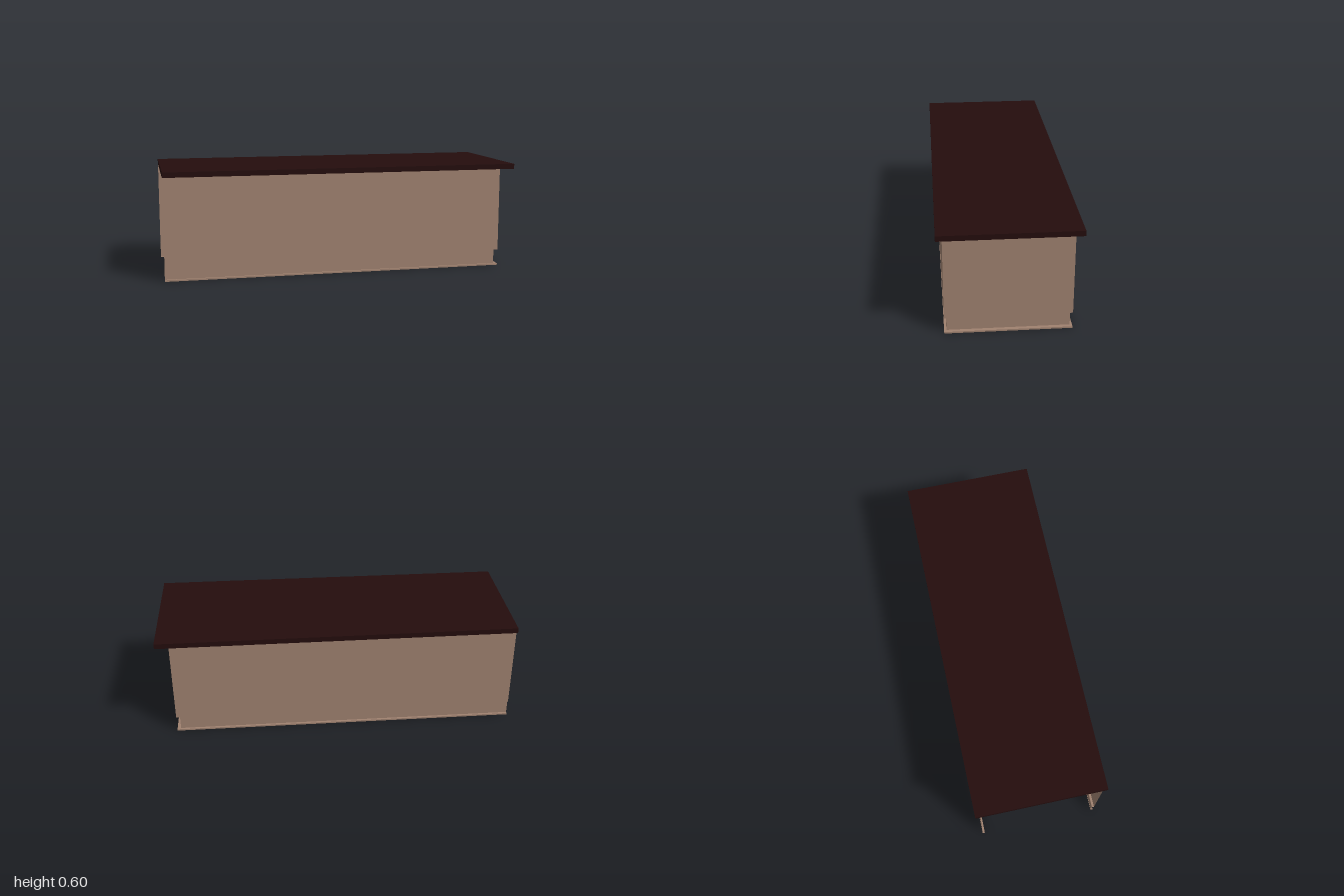
import * as THREE from 'three';

const wood = new THREE.MeshStandardMaterial({ color: 0xa08270, side: THREE.DoubleSide });
wood.name = 'tan wood';
const dark = new THREE.MeshStandardMaterial({ color: 0x240d0d });
dark.name = 'dark countertop';

// Plan of the thin cabinet wall for a given inset: open at -x, closed at +x
function plan(inset) {
  const x = 0.927 - inset * 0.02;
  const z = 0.333 - inset * 0.012;
  return [[-1, z], [x, z], [x, -z], [-1, -z]];
}

// Sweep a profile of [inset, y] points, listed top to bottom, around the plan
function sweep(profile) {
  const pos = [];
  for (let j = 0; j < profile.length - 1; j++) {
    const [top, bottom] = [profile[j], profile[j + 1]];
    const [p, q] = [plan(top[0]), plan(bottom[0])];
    for (let i = 0; i < 3; i++) {
      const a = [p[i][0], top[1], p[i][1]];
      const b = [q[i][0], bottom[1], q[i][1]];
      const c = [q[i + 1][0], bottom[1], q[i + 1][1]];
      const d = [p[i + 1][0], top[1], p[i + 1][1]];
      pos.push(...a, ...b, ...c, ...a, ...c, ...d);
    }
  }
  const geo = new THREE.BufferGeometry();
  geo.setAttribute('position', new THREE.Float32BufferAttribute(pos, 3));
  geo.computeVertexNormals();
  return geo;
}

export function createModel() {
  const group = new THREE.Group();
  group.name = 'counter';
  const add = (name, geo, mat) => {
    const mesh = new THREE.Mesh(geo, mat);
    mesh.name = name;
    group.add(mesh);
  };

  // Cabinet walls, recessed plinth and thin foot rail
  add('cabinetWalls', sweep([[0, 0.571], [0, 0.092]]), wood);
  add('recessedPlinth', sweep([[0, 0.092], [1, 0.092], [1, 0.009]]), wood);
  add('footRail', sweep([[1, 0.009], [0, 0.009], [0, 0], [1, 0]]), wood);

  // Overhanging countertop, very slightly narrower at the open end
  const top = new THREE.BoxGeometry(2, 0.029, 0.734);
  top.translate(0, 0.5855, 0);
  const p = top.attributes.position;
  for (let i = 0; i < p.count; i++) {
    if (p.getX(i) < 0) p.setZ(i, Math.sign(p.getZ(i)) * 0.361);
  }
  top.computeVertexNormals();
  add('countertop', top, dark);

  return group;
}
